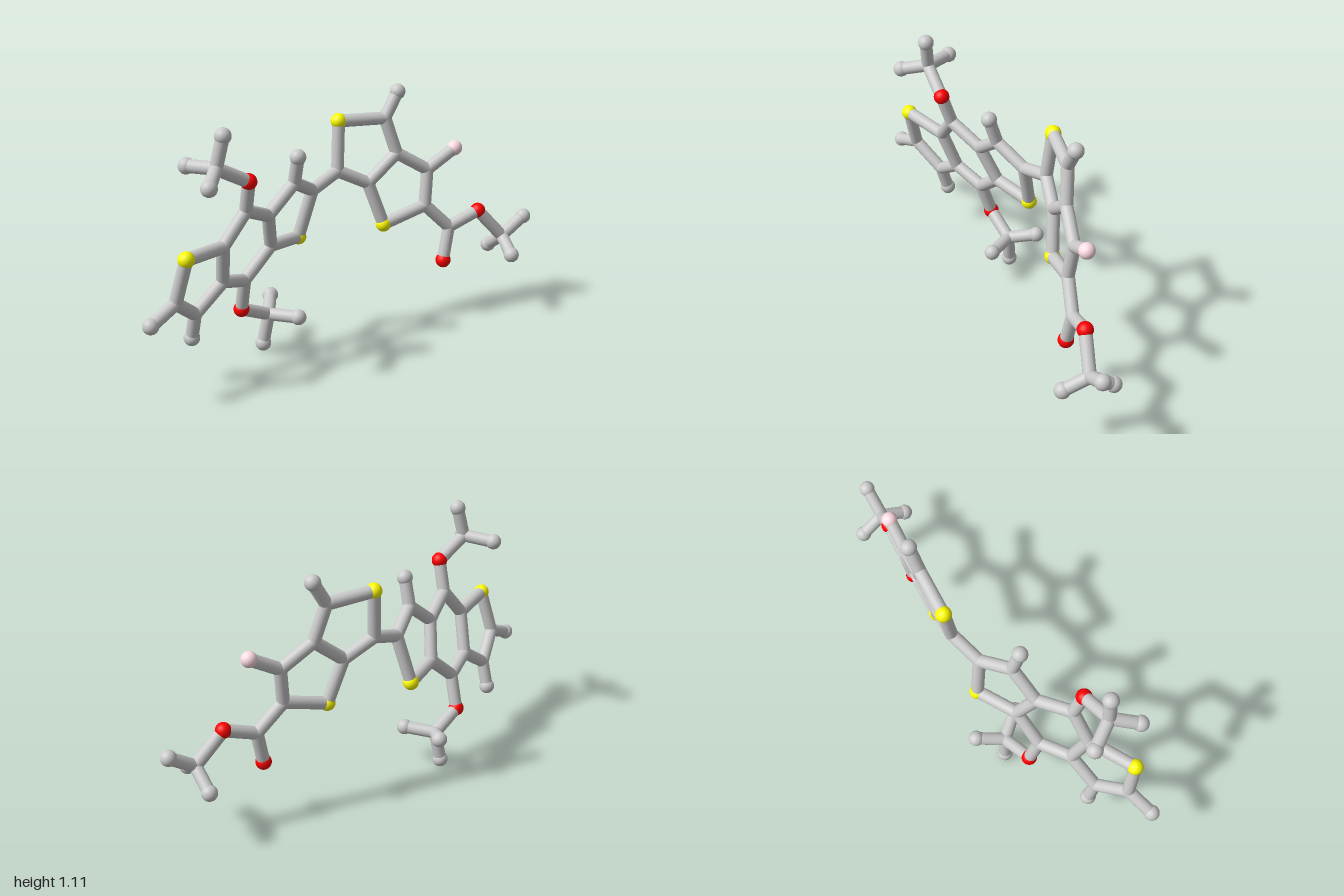
import * as THREE from 'three';

const STICK = 0.0275, BALL = 0.034;
const grey = new THREE.MeshStandardMaterial({ color: 0xcccccc });
const yellow = new THREE.MeshStandardMaterial({ color: 0xffff00 });
const red = new THREE.MeshStandardMaterial({ color: 0xff0000 });
const pink = new THREE.MeshStandardMaterial({ color: 0xffdde4 });

// The two flat ring systems each lie in a tilted plane that gives z from x and y
const leftPlane = (x, y) => -0.3025 - 0.281 * x + 0.274 * y;
const rightPlane = (x, y) => -0.0552 + 0.2566 * x - 0.1055 * y;

// Kinds of node: joint = bare carbon, end = grey tip, others coloured
const kinds = {
  joint: [STICK, grey, 'carbonJoint'],
  end: [BALL, grey, 'hydrogenBall'],
  S: [BALL, yellow, 'sulfurBall'],
  O: [BALL, red, 'oxygenBall'],
  F: [BALL, pink, 'fluorineBall'],
};

const leftNodes = {
  s1: [-0.81, 0.62, 'S'], a: [-0.84, 0.43], b: [-0.715, 0.33], c: [-0.57, 0.43], d: [-0.60, 0.605],
  e: [-0.49, 0.735], f: [-0.34, 0.665], g: [-0.29, 0.505], h: [-0.43, 0.385],
  i: [-0.20, 0.775], j: [-0.065, 0.70], s2: [-0.105, 0.485, 'S'],
  ha: [-0.967, 0.375, 'end'], hb: [-0.715, 0.215, 'end'], hi: [-0.205, 0.895, 'end'],
  o1: [-0.50, 0.87, 'O'], o2: [-0.42, 0.237, 'O'],
};
const rightNodes = {
  k: [0.085, 0.75], s3: [0.105, 0.965, 'S'], l: [0.315, 0.955], m: [0.36, 0.795], n: [0.22, 0.68],
  p: [0.50, 0.705], q: [0.48, 0.545], s4: [0.28, 0.487, 'S'],
  hl: [0.38, 1.063, 'end'], f1: [0.635, 0.785, 'F'],
  r: [0.59, 0.43], o3: [0.555, 0.28, 'O'], o4: [0.735, 0.485, 'O'],
};

// Methyl groups: centre, then three tips; each hangs on an oxygen
const methyls = [
  ['o1', [-0.645, 0.95, 0.068], [-0.62, 1.08, 0.085], [-0.735, 0.91, 0.157], [-0.70, 0.94, -0.06]],
  ['o2', [-0.275, 0.172, -0.13], [-0.295, 0.036, -0.145], [-0.195, 0.207, -0.23], [-0.205, 0.18, -0.008]],
  ['o4', [0.85, 0.35, 0.126], [0.965, 0.425, 0.142], [0.865, 0.275, 0.022], [0.815, 0.295, 0.228]],
];

// Chains of bonded nodes
const chains = [
  's1 a b c d s1', 'd e f g h c', 'f i j s2 g', 'a ha', 'b hb', 'i hi', 'e o1', 'h o2', 'j k',
  'k s3 l m n k', 'm p q s4 n', 'l hl', 'p f1', 'q r o3', 'r o4',
];

export function createModel() {
  const model = new THREE.Group();
  model.name = 'stickMolecule';
  const nodes = {};

  function addNode(id, position, kind = 'joint') {
    const [radius, material, name] = kinds[kind];
    const ball = new THREE.Mesh(new THREE.SphereGeometry(radius, 28, 18), material);
    ball.name = name;
    ball.position.copy(position);
    model.add(ball);
    nodes[id] = position;
  }

  function addBond(from, to) {
    const a = nodes[from], dir = nodes[to].clone().sub(a);
    const bond = new THREE.Mesh(new THREE.CylinderGeometry(STICK, STICK, dir.length(), 24, 1, true), grey);
    bond.name = 'bond';
    bond.position.copy(a).addScaledVector(dir, 0.5);
    bond.quaternion.setFromUnitVectors(new THREE.Vector3(0, 1, 0), dir.normalize());
    model.add(bond);
  }

  // Ring systems
  for (const [table, plane] of [[leftNodes, leftPlane], [rightNodes, rightPlane]]) {
    for (const [id, [x, y, kind]] of Object.entries(table)) {
      addNode(id, new THREE.Vector3(x, y, plane(x, y)), kind);
    }
  }
  for (const chain of chains) {
    const ids = chain.split(' ');
    for (let i = 1; i < ids.length; i++) addBond(ids[i - 1], ids[i]);
  }

  // Methyl groups
  methyls.forEach(([oxygen, centre, ...tips], i) => {
    const c = `methyl${i}`;
    addNode(c, new THREE.Vector3(...centre));
    addBond(oxygen, c);
    tips.forEach((tip, t) => {
      addNode(c + t, new THREE.Vector3(...tip), 'end');
      addBond(c, c + t);
    });
  });

  return model;
}
